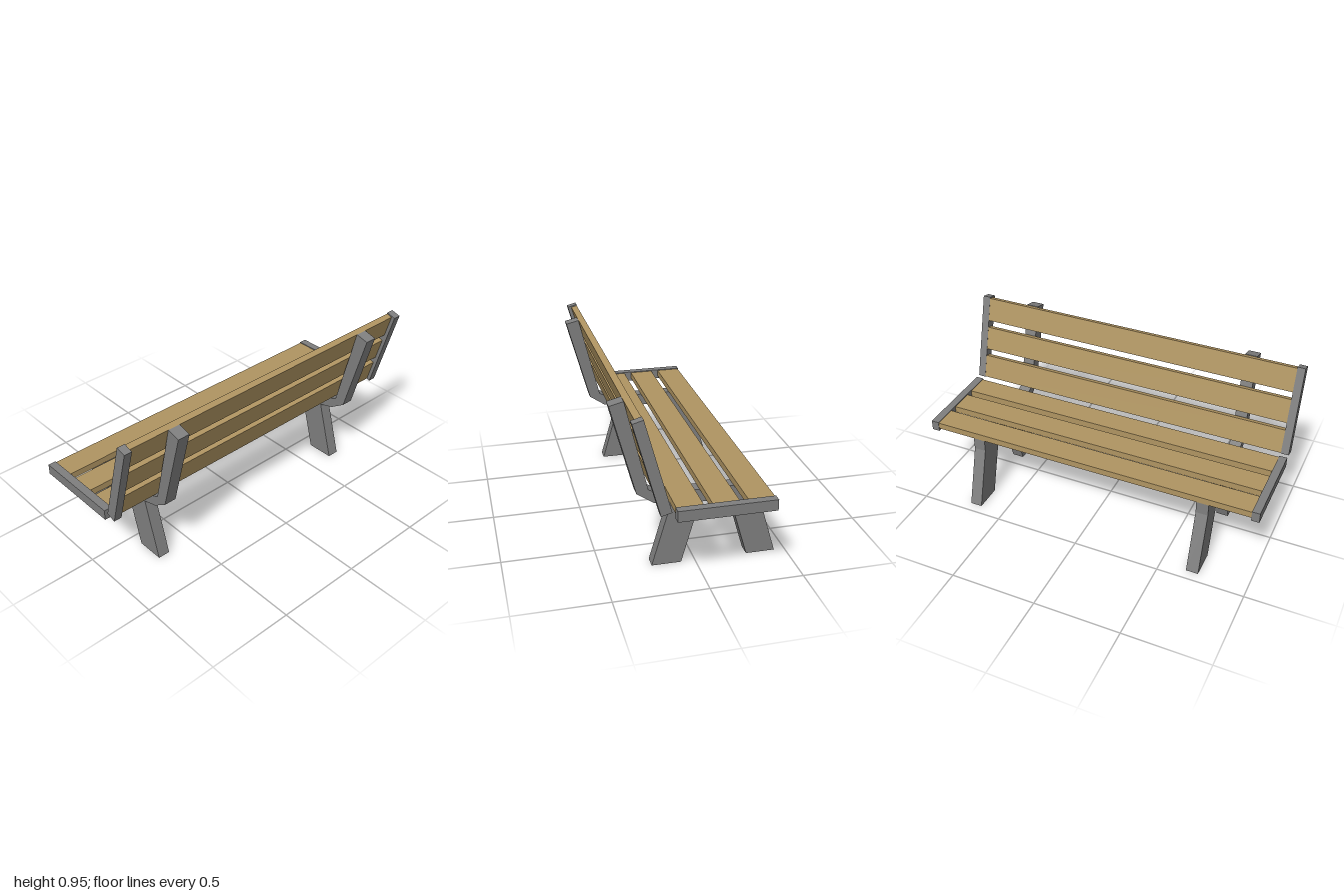
import * as THREE from 'three';

export function createModel() {
  const wood = new THREE.MeshStandardMaterial({ color: 0xb09562 });
  wood.name = 'wood';
  const metal = new THREE.MeshStandardMaterial({ color: 0x808080 });
  metal.name = 'greyMetal';

  const bench = new THREE.Group();
  bench.name = 'bench';

  const box = (parent, name, material, size, position) => {
    const mesh = new THREE.Mesh(new THREE.BoxGeometry(...size), material);
    mesh.name = name;
    mesh.position.set(...position);
    parent.add(mesh);
  };

  // Side frames: legs, seat support and back support in one (z, y) profile
  const profile = [
    [0.235, 0], [0.076, 0], [-0.022, 0.345], [-0.184, 0.345], [-0.284, 0],
    [-0.442, 0], [-0.341, 0.345], [-0.341, 0.417], [0.187, 0.417],
    [0.25, 0.446], [0.369, 0.938], [0.444, 0.919], [0.312, 0.43],
    [0.224, 0.37], [0.135, 0.345],
  ];
  const frameWidth = 0.07;
  const frameGeometry = new THREE.ExtrudeGeometry(
    new THREE.Shape(profile.map(([z, y]) => new THREE.Vector2(z, y))),
    { depth: frameWidth, bevelEnabled: false });
  frameGeometry.translate(0, 0, -frameWidth / 2);
  frameGeometry.rotateY(-Math.PI / 2);
  for (const side of [1, -1]) {
    const frame = new THREE.Mesh(frameGeometry, metal);
    frame.name = side > 0 ? 'leftFrame' : 'rightFrame';
    frame.position.x = side * 0.685;
    bench.add(frame);
  }

  // Backrest leans back about its lower front edge
  const backrest = new THREE.Group();
  backrest.name = 'backrest';
  backrest.position.set(0, 0.458, 0.197);
  backrest.rotation.x = THREE.MathUtils.degToRad(15.4);
  bench.add(backrest);

  // Three slats each for seat and backrest
  for (let i = 0; i < 3; i++) {
    box(bench, `seatSlat${i + 1}`, wood, [1.912, 0.038, 0.139],
      [0, 0.436, -0.272 + i * 0.184]);
    box(backrest, `backSlat${i + 1}`, wood, [1.912, 0.139, 0.036],
      [0, 0.072 + i * 0.182, 0.019]);
  }

  // End caps over the slat ends
  for (const side of [1, -1]) {
    const label = side > 0 ? 'left' : 'right';
    box(bench, `${label}SeatCap`, metal, [0.045, 0.06, 0.514], [side * 0.9775, 0.43, -0.087]);
    box(backrest, `${label}BackCap`, metal, [0.045, 0.513, 0.058], [side * 0.9775, 0.2565, 0.029]);
  }

  return bench;
}
